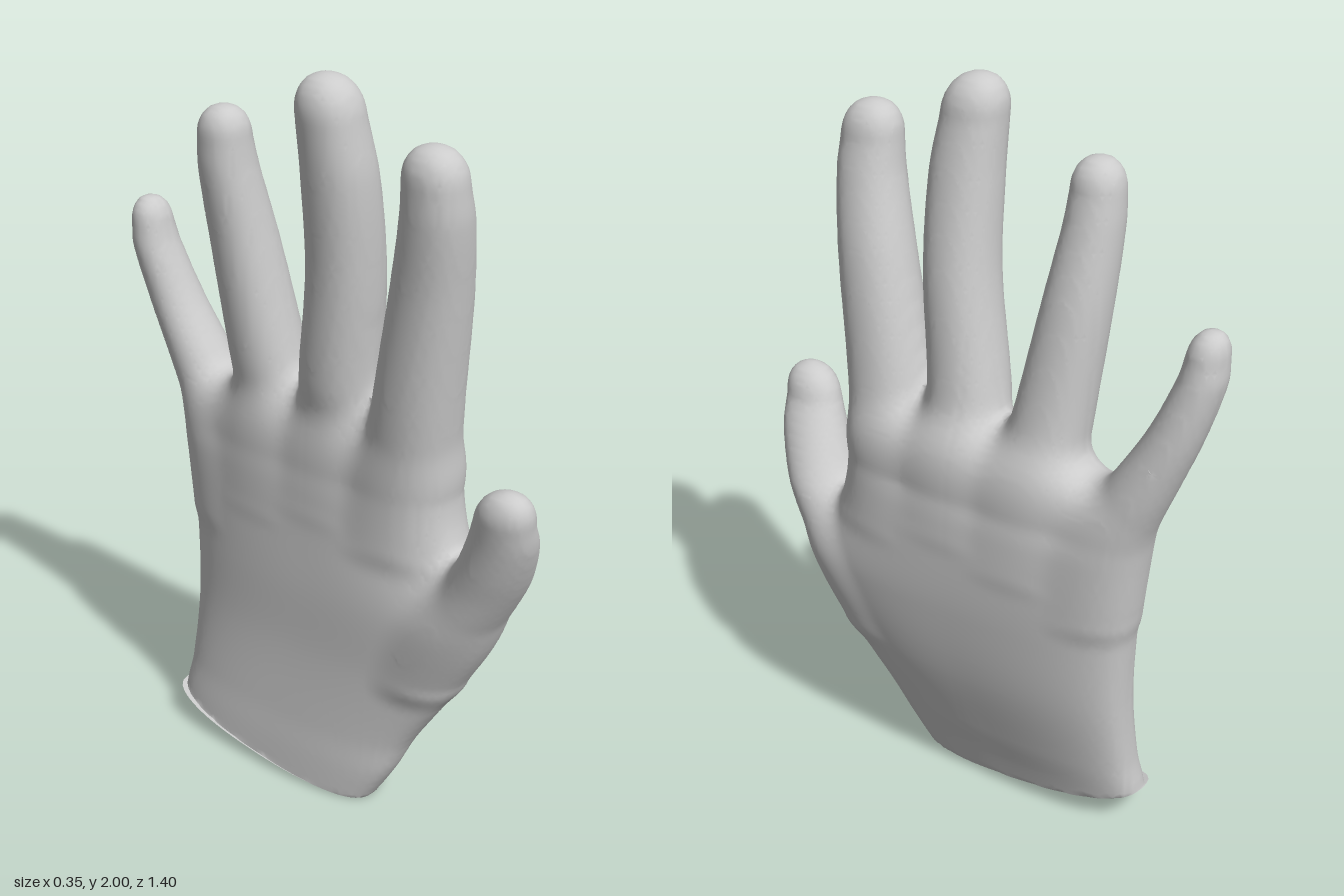
import * as THREE from 'three';
import { toCreasedNormals } from 'three/addons/utils/BufferGeometryUtils.js';

const CELL = 0.015;     // grid spacing of the skin
const BLEND = 0.065;    // reach of the soft joins between parts
const BASE = 0.04;      // rounding under the lowest section of a part
const MIN = [-0.24, -0.14, -0.765];
const SIZE = [32, 148, 102];
const STRIDE = [1, SIZE[0] * SIZE[2], SIZE[0]];

// Sections are [y, centre x, half depth x, centre z, half width z]; tip is [y, x, z]
const palm = {
  power: 2.7,
  rows: [
    [-0.06, -0.078, 0.088, -0.165, 0.335],
    [0, -0.067, 0.097, -0.149, 0.354],
    [0.1, -0.049, 0.107, -0.118, 0.382],
    [0.2, -0.028, 0.117, -0.088, 0.398],
    [0.4, 0.005, 0.135, -0.024, 0.457],
    [0.6, 0.02, 0.147, 0.015, 0.505],
    [0.75, 0.026, 0.146, -0.03, 0.474],
    [0.88, 0.026, 0.14, -0.06, 0.452],
    [0.94, 0.024, 0.132, -0.065, 0.44],
  ],
  tip: [1.115, 0.03, -0.03],
};
const thumb = {
  power: 2.1,
  rows: [
    [0.42, 0.005, 0.1, 0.33, 0.09],
    [0.6, 0.005, 0.122, 0.428, 0.112],
    [0.75, -0.003, 0.112, 0.522, 0.105],
    [0.83, -0.02, 0.1, 0.566, 0.098],
    [0.92, -0.044, 0.083, 0.603, 0.091],
    [0.99, -0.068, 0.067, 0.622, 0.08],
  ],
  tip: [1.077, -0.08, 0.64],
};
const indexFinger = {
  power: 2.2,
  rows: [
    [0.8, 0.015, 0.105, 0.25, 0.12],
    [1.0, 0.01, 0.115, 0.268, 0.122],
    [1.2, -0.01, 0.11, 0.3, 0.115],
    [1.5, -0.035, 0.099, 0.354, 0.102],
    [1.7, -0.064, 0.086, 0.389, 0.09],
    [1.79, -0.077, 0.076, 0.393, 0.083],
  ],
  tip: [1.885, -0.082, 0.39],
};
const middleFinger = {
  power: 2.2,
  rows: [
    [0.85, 0.03, 0.105, 0.02, 0.13],
    [1.05, 0.02, 0.112, 0.03, 0.118],
    [1.2, -0.01, 0.107, 0.042, 0.107],
    [1.5, -0.037, 0.102, 0.081, 0.097],
    [1.75, -0.073, 0.094, 0.092, 0.095],
    [1.9, -0.095, 0.084, 0.083, 0.086],
  ],
  tip: [2.005, -0.1, 0.072],
};
const ringFinger = {
  power: 2.2,
  rows: [
    [0.8, 0.03, 0.105, -0.18, 0.13],
    [1.05, 0.022, 0.11, -0.205, 0.113],
    [1.2, -0.002, 0.102, -0.226, 0.102],
    [1.5, -0.04, 0.091, -0.266, 0.087],
    [1.7, -0.075, 0.079, -0.285, 0.074],
    [1.78, -0.085, 0.07, -0.287, 0.068],
  ],
  tip: [1.865, -0.09, -0.285],
};
const littleFinger = {
  power: 2.1,
  rows: [
    [0.7, 0.025, 0.09, -0.38, 0.1],
    [0.88, 0.032, 0.1, -0.412, 0.104],
    [1.0, 0.035, 0.097, -0.462, 0.1],
    [1.1, 0.03, 0.09, -0.514, 0.089],
    [1.25, 0.015, 0.078, -0.588, 0.072],
    [1.4, -0.005, 0.069, -0.64, 0.06],
    [1.46, -0.01, 0.061, -0.648, 0.052],
  ],
  tip: [1.535, -0.012, -0.655],
};
const PARTS = [palm, thumb, indexFinger, middleFinger, ringFinger, littleFinger];

// Smooth curve through one column of the rows, as a function of height
function sample(rows, y, col) {
  let i = 0;
  while (i < rows.length - 2 && y > rows[i + 1][0]) i++;
  const slope = (k) => {
    const a = rows[Math.max(k - 1, 0)], b = rows[Math.min(k + 1, rows.length - 1)];
    return (b[col] - a[col]) / (b[0] - a[0]);
  };
  const h = rows[i + 1][0] - rows[i][0];
  const t = (y - rows[i][0]) / h, t2 = t * t, t3 = t2 * t;
  return (2 * t3 - 3 * t2 + 1) * rows[i][col] + (t3 - 2 * t2 + t) * h * slope(i)
    + (3 * t2 - 2 * t3) * rows[i + 1][col] + (t3 - t2) * h * slope(i + 1);
}

// Cross-section of a part at height y; s measures how far y runs into a rounded end
function sectionAt({ rows, tip, power }, y) {
  const first = rows[0][0], last = rows[rows.length - 1][0];
  const at = THREE.MathUtils.clamp(y, first, last);
  let [x, rx, z, rz] = [1, 2, 3, 4].map((col) => sample(rows, at, col));
  const height = y > last ? tip[0] - last : BASE;
  const s = Math.abs(y - at) / height;
  if (y > last) {
    x += (tip[1] - x) * Math.min(s, 1);
    z += (tip[2] - z) * Math.min(s, 1);
  }
  return { x, rx, z, rz, s, height, power };
}

// Approximate distance from a point to a part's surface, negative inside
function distance({ x, rx, z, rz, s, height, power: n }, px, pz) {
  const u = Math.abs(px - x) / rx, w = Math.abs(pz - z) / rz;
  const q = Math.max((u ** n + w ** n + s ** n) ** (1 / n), 1e-3);
  const steep = (v, r) => (v / q) ** (n - 1) / r;
  return (q - 1) / Math.hypot(steep(u, rx), steep(w, rz), steep(s, height));
}

function softMin(a, b) {
  const h = Math.max(BLEND - Math.abs(a - b), 0) / BLEND;
  return Math.min(a, b) - h * h * BLEND / 4;
}

// The wrist is cut flat, rising towards the little finger
function wristHeight(z) {
  const u = THREE.MathUtils.clamp((0.2 - z) / 0.7, 0, 1);
  return 0.005 + 0.05 * u + 0.045 * u ** 3;
}

// One continuous skin over all the parts
function skinGeometry() {
  const [nx, ny, nz] = SIZE;
  const field = new Float32Array(nx * ny * nz);
  for (let j = 0, p = 0; j < ny; j++) {
    const sections = PARTS.map((part) => sectionAt(part, MIN[1] + j * CELL));
    for (let k = 0; k < nz; k++) {
      for (let i = 0; i < nx; i++, p++) {
        field[p] = sections
          .map((section) => distance(section, MIN[0] + i * CELL, MIN[2] + k * CELL))
          .reduce(softMin);
      }
    }
  }

  // One vertex in each cell the surface crosses, at the mean of its edge crossings
  const positions = [], index = [], vertexOf = new Int32Array(field.length).fill(-1);
  const eachCell = (visit) => {
    for (let j = 1; j < ny - 1; j++)
      for (let k = 1; k < nz - 1; k++)
        for (let i = 1; i < nx - 1; i++) visit(j * STRIDE[1] + k * STRIDE[2] + i, [i, j, k]);
  };
  eachCell((p, corner) => {
    const sum = [0, 0, 0];
    let count = 0;
    for (let d = 0; d < 3; d++) {
      const e = (d + 1) % 3, g = (d + 2) % 3;
      for (let c = 0; c < 4; c++) {
        const start = p + (c & 1) * STRIDE[e] + (c >> 1) * STRIDE[g];
        const a = field[start], b = field[start + STRIDE[d]];
        if (a < 0 === b < 0) continue;
        sum[d] += a / (a - b);
        sum[e] += c & 1;
        sum[g] += c >> 1;
        count++;
      }
    }
    if (!count) return;
    const [x, y, z] = sum.map((v, d) => MIN[d] + (corner[d] + v / count) * CELL);
    vertexOf[p] = positions.length / 3;
    positions.push(x, Math.max(y, wristHeight(z)), z);
  });

  // One quad around each grid edge the surface crosses
  eachCell((p) => {
    for (let d = 0; d < 3; d++) {
      const inside = field[p] < 0;
      if (inside === field[p + STRIDE[d]] < 0) continue;
      const e = STRIDE[(d + 1) % 3], g = STRIDE[(d + 2) % 3];
      const quad = [p - e - g, p - g, p, p - e].map((cell) => vertexOf[cell]);
      if (!inside) quad.reverse();
      const [a, b, c, f] = quad;
      index.push(a, b, c, a, c, f);
    }
  });

  const geometry = new THREE.BufferGeometry();
  geometry.setAttribute('position', new THREE.Float32BufferAttribute(positions, 3));
  geometry.setIndex(index);
  return toCreasedNormals(geometry, 0.8);
}

export function createModel() {
  const group = new THREE.Group();
  group.name = 'hand';
  const skin = new THREE.Mesh(skinGeometry(), new THREE.MeshStandardMaterial({ color: 0xcccccc }));
  skin.name = 'palmAndFingers';
  group.add(skin);
  return group;
}
